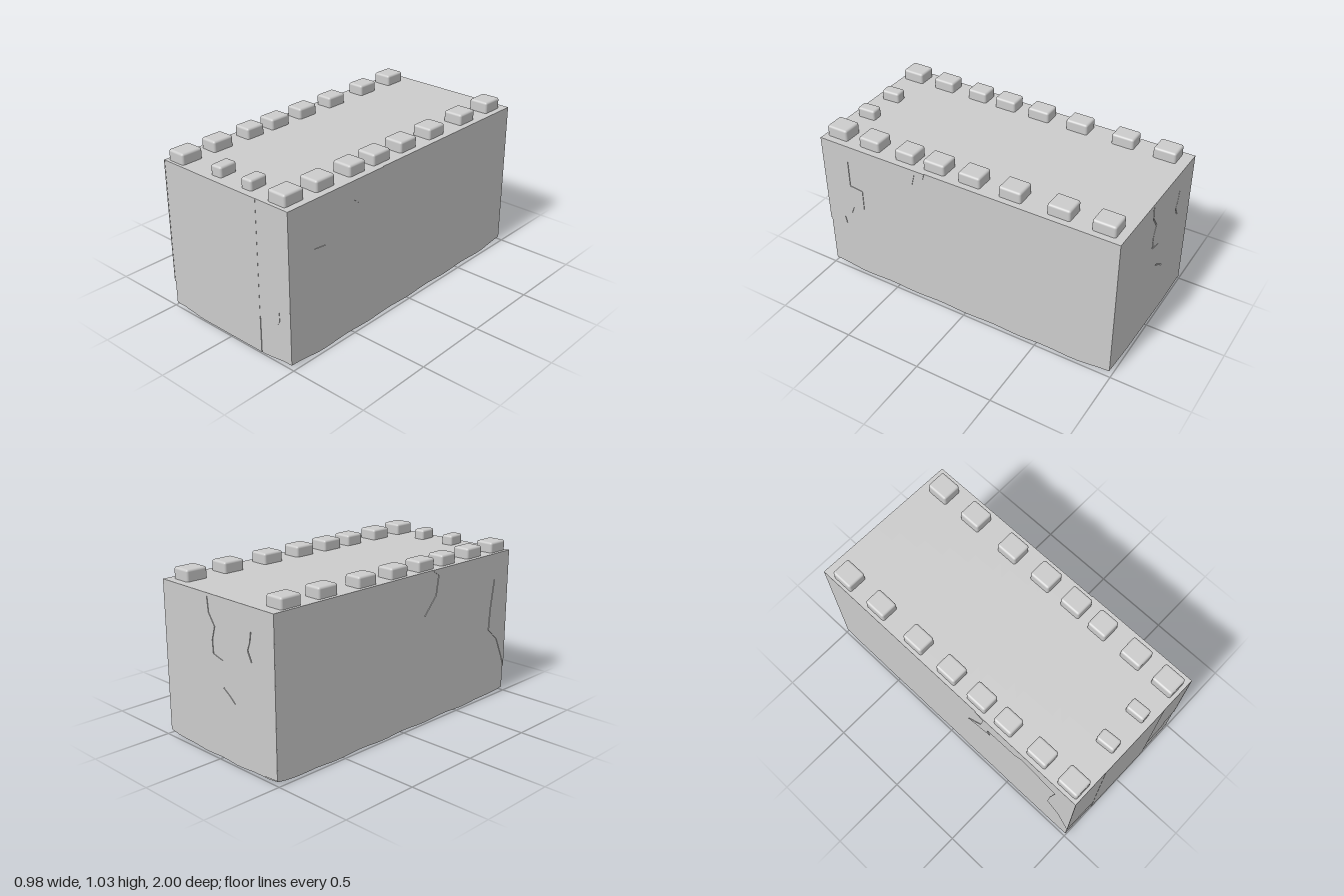
import * as THREE from 'three';
import { RoundedBoxGeometry } from 'three/addons/geometries/RoundedBoxGeometry.js';

const X0 = -0.487, X1 = 0.482, TOP = 0.96, T = 0.004;

export function createModel() {
  const group = new THREE.Group();
  const stone = new THREE.MeshStandardMaterial({ color: 0xcccccc, flatShading: true });
  const smooth = new THREE.MeshStandardMaterial({ color: 0xcccccc });

  const add = (name, geometry, material = stone) => {
    const mesh = new THREE.Mesh(geometry, material);
    mesh.name = name;
    group.add(mesh);
    return mesh;
  };

  // Wall block: slightly skewed back, chipped lower rim that rises at the corners
  const body = new THREE.BoxGeometry(X1 - X0, TOP, 2 - T, 14, 1, 28);
  body.translate((X0 + X1) / 2, TOP / 2, -T / 2);
  const p = body.attributes.position;
  for (let i = 0; i < p.count; i++) {
    const x = p.getX(i), y = p.getY(i), z = p.getZ(i);
    const onRim = x < X0 + 0.001 || x > X1 - 0.001 || Math.abs(z + T / 2) > 1 - T / 2 - 0.001;
    if (y < 0.001 && onRim) {
      const corner = Math.max(0, (Math.abs(x) - 0.25) / 0.24) * Math.max(0, (Math.abs(z) - 0.8) / 0.2);
      p.setY(i, 0.007 + 0.004 * Math.sin(x * 23 + z * 17) + 0.018 * corner);
    }
    if (z < -0.99) p.setZ(i, -1 + T + 0.0154 * (x + 0.49));
  }
  add('wallBlock', body);

  // Thin plaster layer: outline in (u, y), turned about y onto its wall
  const toShape = pts => new THREE.Shape(pts.map(([u, y]) => new THREE.Vector2(u, y)));
  const plaster = (name, pts, turn, pos, holes = [], depth = T) => {
    const shape = toShape(pts);
    shape.holes = holes.map(toShape);
    const g = new THREE.ExtrudeGeometry(shape, { depth: depth + 0.002, bevelEnabled: false });
    g.translate(0, 0, -0.002);
    g.rotateY(turn);
    g.translate(...pos);
    add(name, g);
  };

  // Front: middle panel and two corner panels broken off at the bottom
  const front = [0, 0, 1 - T];
  plaster('frontPlasterMiddle', [[-0.246, 0.008], [0.249, 0.008], [0.249, TOP], [-0.246, TOP]], 0, front);
  plaster('frontPlasterRight', [
    [-0.49, 0.172], [-0.41, 0.165], [-0.36, 0.158], [-0.3, 0.16], [-0.28, 0.15], [-0.246, 0.152],
    [-0.246, TOP], [-0.49, TOP],
  ], 0, front, [], 0.003);
  plaster('frontPlasterLeft', [
    [0.249, 0.246], [0.32, 0.24], [0.385, 0.246], [0.4, 0.27], [0.4, 0.33], [0.43, 0.342], [0.45, 0.355],
    [0.486, 0.366], [0.486, TOP], [0.249, TOP],
  ], 0, front, [], 0.003);

  // Side patches wrapping round the upper front corners (u = -z on the left, z on the right)
  plaster('leftPlasterPatch', [
    [1, 0.355], [0.87, 0.36], [0.88, 0.41], [0.82, 0.46], [0.8, 0.51], [0.72, 0.52], [0.72, 0.66],
    [0.81, 0.67], [0.81, 0.85], [0.5, 0.85], [0.45, 0.81], [0.34, 0.85], [0.32, 0.93], [0.26, 0.92],
    [0.25, TOP], [1, TOP],
  ].map(([z, y]) => [-z, y]).reverse(), Math.PI / 2, [X1, 0, 0]);
  plaster('rightPlasterPatch', [
    [1, 0.17], [0.97, 0.25], [0.91, 0.38], [0.82, 0.46], [0.83, 0.6], [0.86, 0.79], [0.6, 0.85],
    [0.55, 0.81], [0.33, 0.8], [0.35, 0.74], [0.18, 0.69], [0.28, 0.8], [0.3, 0.92], [0.24, TOP], [1, TOP],
  ], -Math.PI / 2, [X0, 0, 0]);

  // Back layer with narrow cracks (u = -x)
  const crack = pts => [
    ...pts.map(([x, y]) => [-x - 0.003, y]),
    ...pts.slice().reverse().map(([x, y]) => [-x + 0.003, y + 0.004]),
  ];
  plaster('backPlaster',
    [[-0.482, 0.03], [-0.25, 0.014], [0.25, 0.014], [0.487, 0.03], [0.487, TOP], [-0.482, TOP]],
    Math.PI - 0.0154, [0, 0, -0.9925 + T], [
      crack([[0.07, 0.94], [0.06, 0.85], [0.01, 0.78], [0.035, 0.7], [0.03, 0.62], [-0.05, 0.6]]),
      crack([[-0.3, 0.82], [-0.29, 0.76], [-0.27, 0.71], [-0.3, 0.65]]),
      crack([[-0.05, 0.44], [-0.1, 0.41], [-0.15, 0.37]]),
    ]);

  // Battlements: rounded blocks sunk into the roof
  const merlon = (name, x, z, w, d, top) => {
    const sunk = 0.04, h = top - TOP + sunk;
    const m = add(name, new RoundedBoxGeometry(w, h, d, 3, 0.014), smooth);
    m.position.set(x, top - h / 2, z);
    return m;
  };
  const rows = [-0.86, -0.59, -0.285, -0.02, 0.217, 0.422, 0.675, 0.91];
  rows.forEach((z, i) => {
    const end = i === 0 || i === rows.length - 1;
    const d = i === 5 ? 0.13 : 0.142;
    merlon('rightMerlon' + (i + 1), -0.408, z, end ? 0.122 : 0.112, d, 1.026);
    merlon('leftMerlon' + (i + 1), 0.38, z - 0.005, 0.126, d, end ? 1.03 : 1.027);
  });
  // Two small, slightly twisted front merlons
  merlon('frontMerlonRight', -0.108, 0.893, 0.078, 0.12, 1.022).rotation.y = 0.06;
  merlon('frontMerlonLeft', 0.135, 0.897, 0.077, 0.12, 1.022).rotation.y = 0.04;

  return group;
}
